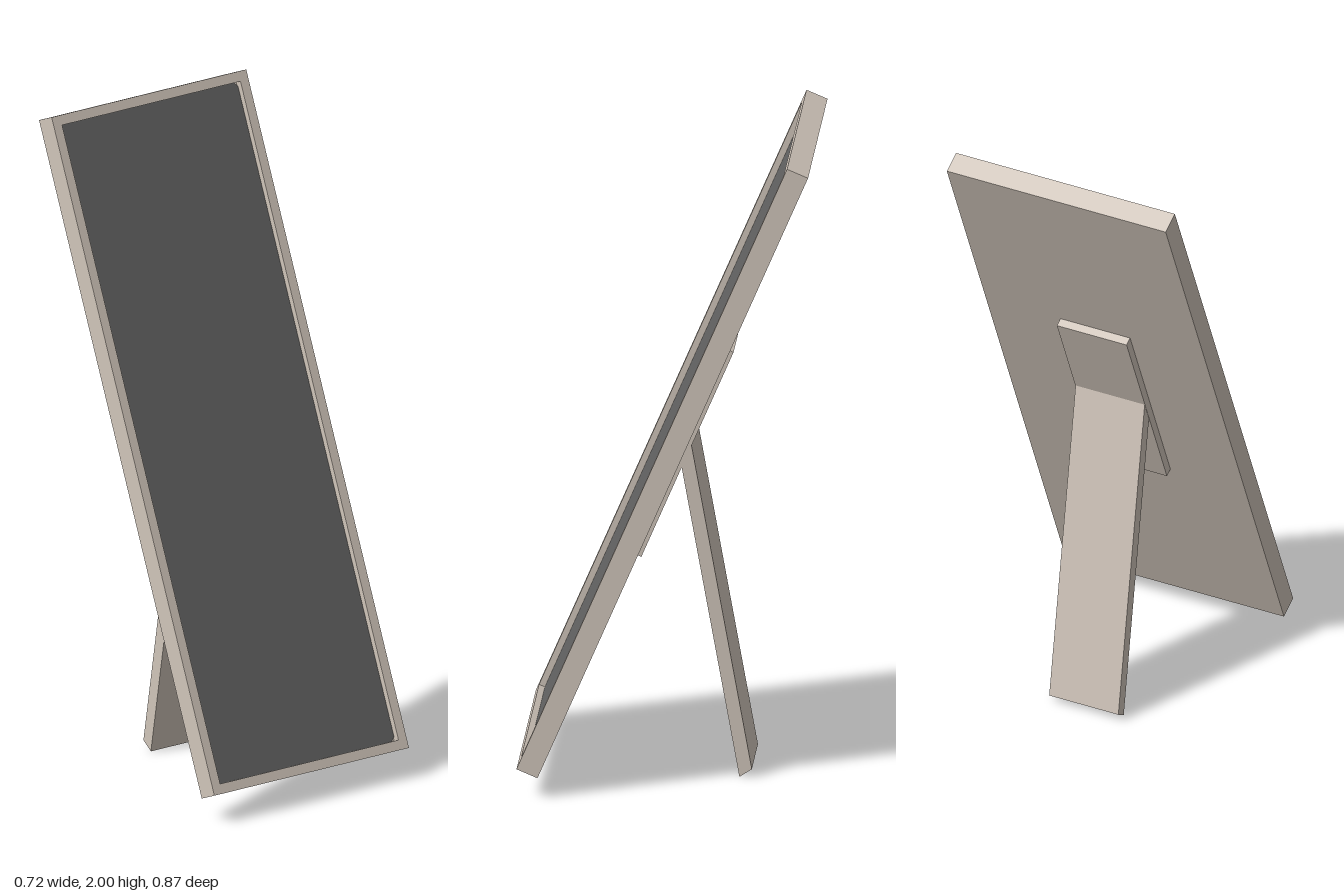
import * as THREE from 'three';

const WIDTH = 0.722, LENGTH = 2.072, THICK = 0.068, BORDER = 0.03, RECESS = 0.023;
const TILT = THREE.MathUtils.degToRad(22.9);

// Rectangle with cut corners (cut = 0 gives a plain rectangle)
function rectPoints(w, h, cut = 0) {
  const x = w / 2, y = h / 2, c = cut;
  const pts = c > 0
    ? [[-x + c, -y], [x - c, -y], [x, -y + c], [x, y - c], [x - c, y], [-x + c, y], [-x, y - c], [-x, -y + c]]
    : [[-x, -y], [x, -y], [x, y], [-x, y]];
  return pts.map(([a, b]) => new THREE.Vector2(a, b));
}

const extrude = (shape, depth) => new THREE.ExtrudeGeometry(shape, { depth, bevelEnabled: false });

export function createModel() {
  const wood = new THREE.MeshStandardMaterial({ name: 'pale wood', color: 0xd0c5ba });
  const glass = new THREE.MeshStandardMaterial({ name: 'grey glass', color: 0x626262 });

  const model = new THREE.Group();
  model.name = 'standingMirror';
  const panel = new THREE.Group();
  panel.name = 'leaningPanel';
  panel.position.y = 1.0325;
  panel.rotation.x = -TILT;
  model.add(panel);

  const add = (parent, name, geometry, material, z = 0) => {
    const mesh = new THREE.Mesh(geometry, material);
    mesh.name = name;
    mesh.position.z = z;
    parent.add(mesh);
    return mesh;
  };

  // Backing board and raised rim around the recess
  const innerW = WIDTH - 2 * BORDER, innerL = LENGTH - 2 * BORDER;
  const floor = THICK / 2 - RECESS;
  add(panel, 'backingBoard', new THREE.BoxGeometry(WIDTH, LENGTH, THICK - RECESS), wood, -RECESS / 2);
  const rim = new THREE.Shape(rectPoints(WIDTH, LENGTH));
  rim.holes.push(new THREE.Path(rectPoints(innerW, innerL)));
  add(panel, 'frameRim', extrude(rim, RECESS), wood, floor);

  // Mirror sheet with clipped corners, set down in the recess
  add(panel, 'mirrorGlass', extrude(new THREE.Shape(rectPoints(innerW, innerL, 0.012)), 0.004), glass, floor);

  // Hinge plate on the back
  add(panel, 'hingePlate', new THREE.BoxGeometry(0.23, 0.706, 0.026), wood, -THICK / 2 - 0.013);

  // Rear leg: side profile in (-z, y), extruded across x
  const profile = new THREE.Shape([
    [0.21, 0], [0.247, 0.025], [0.066, 1.045], [0.035, 0.985],
  ].map(([a, b]) => new THREE.Vector2(a, b)));
  const leg = extrude(profile, 0.228);
  leg.translate(0, 0, -0.114);
  leg.rotateY(Math.PI / 2);
  add(model, 'rearLeg', leg, wood);

  return model;
}
